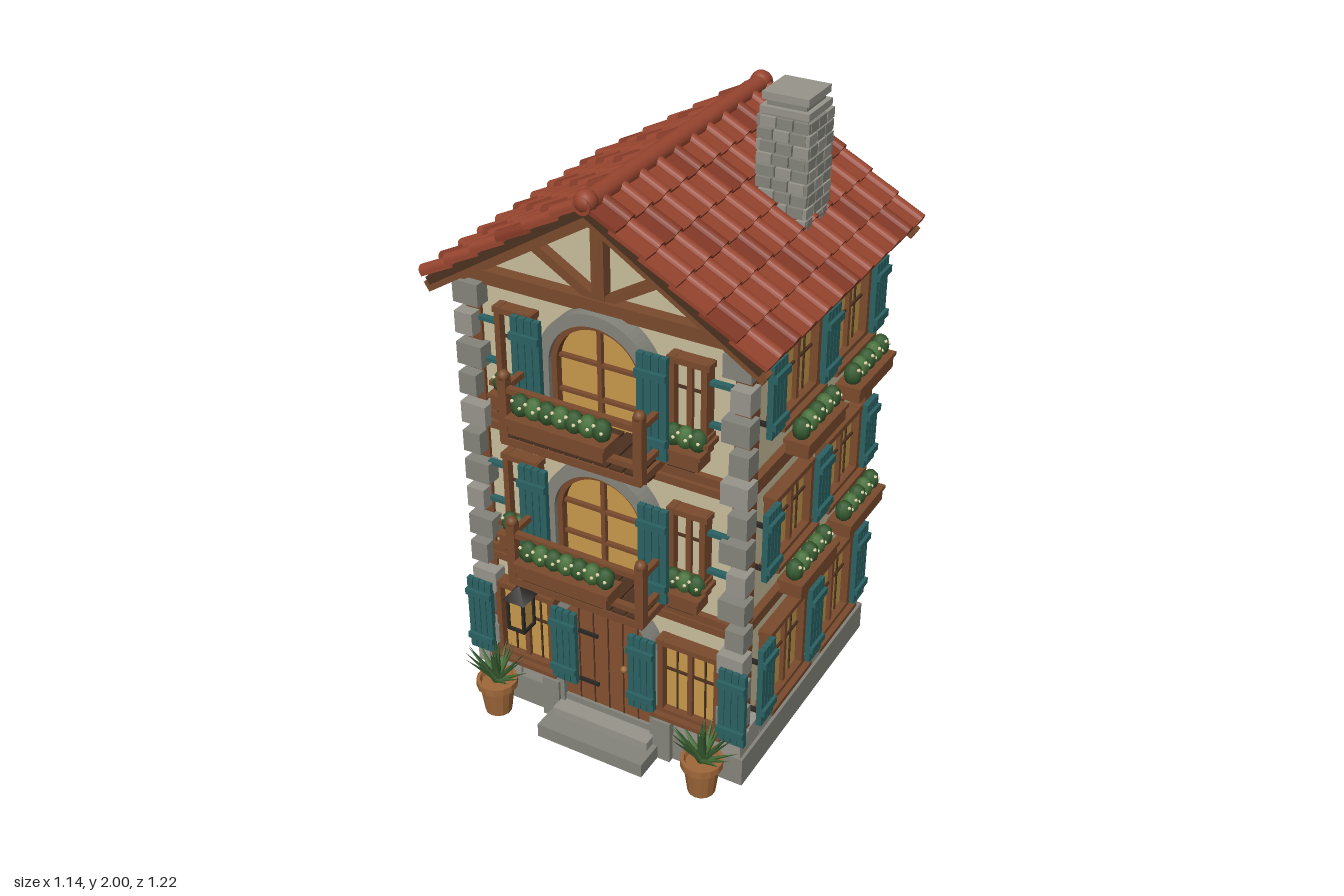
import * as THREE from 'three';

const mat = (color, extra = {}) => new THREE.MeshStandardMaterial({ color, ...extra });
const M = {
  plaster: mat(0xc9bd9c), wood: mat(0x7a4b2d), dark: mat(0x4c3120), teal: mat(0x2b6263), glass: mat(0xc89a4c),
  stone: mat(0x85847c), stoneLight: mat(0x97958b), tile: mat(0x97452f), tileDark: mat(0x853a27), door: mat(0x84512f),
  green: mat(0x47703a), greenDark: mat(0x34592f), flower: mat(0xd9cfa8), pot: mat(0xa0683a), iron: mat(0x2b2724),
};
const FRONT = 0.34, BACK = -0.475, SIDE = 0.435, ZC = -0.0675;

function add(parent, name, geo, material, x = 0, y = 0, z = 0) {
  const m = new THREE.Mesh(geo, material);
  m.name = name;
  m.position.set(x, y, z);
  parent.add(m);
  return m;
}
const box = (p, name, material, w, h, d, x, y, z) => add(p, name, new THREE.BoxGeometry(w, h, d), material, x, y, z);
function group(parent, name, x = 0, y = 0, z = 0, ry = 0) {
  const g = new THREE.Group();
  g.name = name;
  g.position.set(x, y, z);
  g.rotation.y = ry;
  parent.add(g);
  return g;
}
// Square timber between two points
function beam(p, name, material, a, b, t, d = t) {
  const A = new THREE.Vector3(...a), B = new THREE.Vector3(...b);
  const m = box(p, name, material, t, A.distanceTo(B), d, 0, 0, 0);
  m.position.copy(A).add(B).multiplyScalar(0.5);
  m.quaternion.setFromUnitVectors(new THREE.Vector3(0, 1, 0), B.sub(A).normalize());
  return m;
}
// Round-headed outline: straight sides from y0 up to yc, then a half circle
function archPath(r, y0, yc, P = THREE.Shape) {
  const s = new P();
  s.moveTo(-r, y0);
  s.lineTo(r, y0);
  s.lineTo(r, yc);
  s.absarc(0, yc, r, 0, Math.PI, false);
  s.lineTo(-r, y0);
  return s;
}
function arch(p, name, material, r, inner, y0, yc, z, depth) {
  const s = archPath(r, y0, yc);
  if (inner) s.holes.push(archPath(inner, y0 + 0.001, yc, THREE.Path));
  return add(p, name, new THREE.ExtrudeGeometry(s, { depth, bevelEnabled: false, curveSegments: 16 }), material, 0, 0, z);
}
// Casement window facing local +z
function casement(p, x, y, w, h, z = 0, pane = M.glass) {
  const g = group(p, 'window', x, y, z);
  box(g, 'pane', pane, w, h, 0.02, 0, 0, 0);
  for (const s of [-1, 1]) {
    box(g, 'frameSide', M.wood, 0.018, h + 0.02, 0.05, s * w / 2, 0, 0.01);
    box(g, 'frameRail', M.wood, w + 0.03, 0.018, 0.05, 0, s * h / 2, 0.01);
    if (w > 0.15) box(g, 'glazingBar', M.dark, 0.005, h, 0.024, s * w / 4, 0, 0.003);
  }
  box(g, 'centreBar', M.wood, 0.016, h, 0.036, 0, 0, 0.006);
  box(g, 'crossBar', M.dark, w, 0.007, 0.028, 0, h * 0.1, 0.003);
  box(g, 'sill', M.wood, w + 0.05, 0.015, 0.07, 0, -h / 2 - 0.012, 0.02);
}
function shutter(p, x, y, w, h, z) {
  const g = group(p, 'shutter', x, y, z);
  box(g, 'backing', M.teal, w - 0.008, h - 0.012, 0.01, 0, 0, 0);
  for (let i = 0; i < 4; i++) box(g, 'plank', M.teal, w / 4 - 0.003, h, 0.018, (i - 1.5) * w / 4, 0, 0);
  for (const s of [-1, 1]) {
    box(g, 'batten', M.teal, w, 0.022, 0.016, 0, s * h * 0.32, 0.012);
    box(g, 'hinge', M.iron, 0.012, 0.012, 0.045, -w * 0.4, s * h * 0.32, -0.022);
  }
}
function planter(p, x, y, w, z) {
  const g = group(p, 'planter', x, y, z);
  box(g, 'trough', M.wood, w, 0.045, 0.07, 0, 0, 0);
  box(g, 'troughRim', M.wood, w + 0.016, 0.012, 0.08, 0, 0.022, 0);
  box(g, 'troughFoot', M.dark, w - 0.03, 0.01, 0.055, 0, -0.027, 0);
  const n = Math.max(2, Math.round(w / 0.046));
  for (let i = 0; i < n; i++) {
    const px = (i - (n - 1) / 2) * w / n;
    const bush = add(g, 'bush', new THREE.SphereGeometry(0.028, 8, 6), i % 2 ? M.green : M.greenDark, px, 0.055, 0);
    bush.scale.y = 1.25;
    for (const [dx, dy] of [[-0.012, 0.078], [0.011, 0.06]])
      add(g, 'blossom', new THREE.IcosahedronGeometry(0.006), M.flower, px + dx, dy, 0.022);
  }
}
// Wall of two windows per floor, with shutters and planters
function windowWall(root, name, x, z, ry, offset, spacing, width) {
  const g = group(root, name, x, 0, z, ry);
  [[0.335, 0.27], [0.845, 0.215], [1.325, 0.215]].forEach(([y, h], floor) => {
    for (const s of [-1, 1]) {
      casement(g, offset + s * spacing / 2, y, width, h, 0.008);
      shutter(g, offset + s * (spacing / 2 + width / 2 + 0.055), y, 0.085, h + 0.015, 0.05);
      if (floor) planter(g, offset + s * spacing / 2, y - 0.18, 0.245, 0.095);
    }
    shutter(g, offset, y, 0.09, h + 0.015, 0.05);
  });
}
function buildShell(root) {
  const s = new THREE.Shape();
  [[-SIDE, 0.08], [SIDE, 0.08], [SIDE, 1.53], [0, 1.8], [-SIDE, 1.53]].forEach(([x, y], i) => i ? s.lineTo(x, y) : s.moveTo(x, y));
  add(root, 'walls', new THREE.ExtrudeGeometry(s, { depth: FRONT - BACK, bevelEnabled: false }), M.plaster, 0, 0, BACK);
  // Stone footing with a course of blocks on top
  box(root, 'footing', M.stone, 0.94, 0.1, 0.88, 0, 0.05, -0.07);
  for (let i = 0; i < 7; i++) {
    const t = (i - 3) * 0.13;
    for (const d of [-1, 1]) box(root, 'footingBlock', M.stoneLight, 0.03, 0.08, 0.118, d * 0.446, 0.142, ZC + t * 0.93);
    box(root, 'footingBlock', M.stoneLight, 0.122, 0.08, 0.03, t, 0.142, BACK - 0.011);
    if (Math.abs(i - 3) > 1) box(root, 'footingBlock', M.stoneLight, 0.122, 0.08, 0.03, t, 0.142, FRONT + 0.008);
  }
  // Timber floor bands and corner posts
  for (const y of [0.545, 0.575, 1.025, 1.06, 1.5])
    box(root, 'floorBand', M.wood, 0.9 + (y % 0.1 > 0.05 ? 0.02 : 0), 0.025, 0.855, 0, y, ZC);
  for (const d of [-1, 1]) {
    box(root, 'cornerPost', M.wood, 0.05, 1.33, 0.05, d * 0.432, 0.845, BACK + 0.005);
    box(root, 'cornerPost', M.wood, 0.05, 1.33, 0.05, d * 0.432, 0.845, FRONT - 0.015);
    for (let i = 0; i < 14; i++) {
      const w = i % 2 ? 0.085 : 0.06;
      box(root, 'quoin', i % 3 ? M.stone : M.stoneLight, w, 0.07, 0.06, d * (0.472 - w / 2), 0.16 + i * 0.1, 0.36);
    }
    // Eave brackets, plates and rafter tails
    for (const z of [0.3, -0.44]) {
      beam(root, 'eaveBracket', M.wood, [d * 0.43, 1.42, z], [d * 0.52, 1.505, z], 0.028);
      box(root, 'bracketPost', M.wood, 0.03, 0.12, 0.03, d * 0.45, 1.44, z);
    }
    box(root, 'eavePlate', M.wood, 0.022, 0.028, 1.0, d * 0.515, 1.505, -0.075);
    for (let i = 0; i < 11; i++) box(root, 'rafterTail', M.dark, 0.1, 0.025, 0.022, d * 0.465, 1.5, ZC + (i - 5) * 0.082);
  }
  // Gable trusses
  for (const [z, edge] of [[FRONT + 0.015, 0.415], [BACK - 0.015, -0.565]]) {
    const g = group(root, 'gableTruss', 0, 0, z);
    box(g, 'tieBeam', M.wood, 0.95, 0.035, 0.05, 0, 1.525, 0);
    box(g, 'kingPost', M.wood, 0.04, 0.27, 0.04, 0, 1.67, 0);
    for (const d of [-1, 1]) {
      beam(g, 'brace', M.wood, [d * 0.02, 1.54, 0], [d * 0.22, 1.66, 0], 0.028, 0.035);
      beam(g, 'rafter', M.wood, [0, 1.785, 0], [d * 0.46, 1.5, 0], 0.03, 0.04);
      beam(g, 'bargeBoard', M.wood, [0, 1.808, edge - z], [d * 0.53, 1.473, edge - z], 0.032, 0.03);
    }
  }
}
function buildRoof(root) {
  const angle = Math.atan2(0.335, 0.53), cols = 11, rows = 6, pitch = 1.03 / cols, step = 0.627 / rows;
  // Pan-and-roll tile section, run down the slope
  const s = new THREE.Shape();
  s.moveTo(0, 0);
  s.lineTo(0.055, 0);
  s.lineTo(pitch, 0);
  s.lineTo(pitch, 0.012);
  s.absellipse(pitch - 0.02, 0.012, 0.02, 0.018, 0, Math.PI, false);
  s.lineTo(0, 0.012);
  const tileGeo = new THREE.ExtrudeGeometry(s, { depth: step + 0.018, bevelEnabled: false, curveSegments: 5 }).rotateY(Math.PI / 2);
  for (const ry of [0, Math.PI]) {
    const side = group(root, 'roofSlope', 0, 1.84, -0.075, ry);
    const slope = group(side, 'slope');
    slope.rotation.z = -angle;
    box(slope, 'deck', M.dark, 0.625, 0.025, 1.02, 0.312, -0.0125, 0);
    for (let c = 0; c < cols; c++) for (let r = 0; r < rows; r++) {
      const t = add(slope, 'tile', tileGeo, (c * 3 + r * 5) % 4 ? M.tile : M.tileDark, r * step - 0.012, -0.006, 0.515 - c * pitch);
      t.rotation.z = 0.1;
    }
  }
  for (let i = 0; i < cols; i++) {
    const cap = add(root, 'ridgeTile', new THREE.CylinderGeometry(0.027, 0.03, pitch + 0.008, 12), M.tile, 0, 1.845, -0.075 + (i - 5) * pitch);
    cap.rotation.x = Math.PI / 2;
  }
  for (const z of [0.42, -0.57]) add(root, 'ridgeEnd', new THREE.SphereGeometry(0.033, 12, 8), M.tile, 0, 1.85, z);
  // Brick chimney
  const g = group(root, 'chimney', 0.285, 0, -0.215);
  box(g, 'core', M.stone, 0.14, 0.4, 0.14, 0, 1.74, 0);
  for (let r = 0; r < 10; r++) for (let k = 0; k < 4; k++) {
    const face = group(g, 'brickCourse', 0, 1.595 + r * 0.036, 0, k * Math.PI / 2);
    for (let i = 0; i < 3; i++) box(face, 'brick', (r + i + k) % 3 ? M.stone : M.stoneLight, 0.046, 0.03, 0.016, (i - 1) * 0.051 + (r % 2 ? 0.005 : -0.005), 0, 0.073);
  }
  box(g, 'collar', M.stoneLight, 0.15, 0.02, 0.15, 0, 1.95, 0);
  box(g, 'neck', M.stone, 0.12, 0.03, 0.12, 0, 1.97, 0);
  box(g, 'cap', M.stoneLight, 0.142, 0.022, 0.142, 0, 1.989, 0);
}
// Arched opening with balcony for an upper floor
function buildBalcony(root, dy) {
  const g = group(root, 'balconyFloor', 0, dy, 0);
  arch(g, 'stoneArch', M.stone, 0.187, 0.15, 1.13, 1.32, FRONT, 0.06);
  arch(g, 'archFrame', M.wood, 0.15, 0.133, 1.13, 1.32, FRONT, 0.045);
  arch(g, 'archGlass', M.glass, 0.14, 0, 1.13, 1.32, FRONT, 0.02);
  box(g, 'glazingBar', M.wood, 0.014, 0.32, 0.03, 0, 1.29, FRONT + 0.02);
  for (const y of [1.23, 1.34]) box(g, 'glazingBar', M.wood, 0.27, 0.01, 0.03, 0, y, FRONT + 0.02);
  box(g, 'deck', M.wood, 0.45, 0.025, 0.2, 0, 1.122, 0.44);
  for (let i = 0; i < 9; i++) box(g, 'deckBoard', M.dark, 0.042, 0.008, 0.19, (i - 4) * 0.048, 1.138, 0.44);
  for (const y of [1.165, 1.285]) box(g, 'frontRail', M.wood, 0.44, 0.018, 0.02, 0, y, 0.525);
  planter(g, 0, 1.225, 0.3, 0.573);
  for (const d of [-1, 1]) {
    box(g, 'railPost', M.wood, 0.028, 0.21, 0.028, d * 0.215, 1.22, 0.525);
    add(g, 'postKnob', new THREE.SphereGeometry(0.018, 10, 8), M.wood, d * 0.215, 1.325, 0.525);
    for (const y of [1.165, 1.285]) box(g, 'sideRail', M.wood, 0.018, 0.018, 0.19, d * 0.215, y, 0.435);
    beam(g, 'deckBrace', M.wood, [d * 0.155, 1.11, 0.52], [d * 0.155, 1.03, 0.4], 0.022);
    box(g, 'braceFoot', M.dark, 0.026, 0.09, 0.06, d * 0.155, 1.07, 0.37);
    shutter(g, d * 0.2, 1.3, 0.095, 0.32, 0.43);
    // Narrow flanking window
    casement(g, d * 0.28, 1.32, 0.1, 0.22, FRONT + 0.008, M.plaster);
    for (const y of [1.25, 1.38]) box(g, 'shutterStay', M.teal, 0.075, 0.012, 0.02, d * 0.365, y, FRONT + 0.02);
    planter(g, d * 0.28, 1.15, 0.115, 0.39);
  }
}
function buildEntrance(root) {
  arch(root, 'doorSurround', M.stone, 0.187, 0.155, 0.06, 0.37, FRONT, 0.04);
  arch(root, 'door', M.door, 0.156, 0, 0.06, 0.37, FRONT, 0.02);
  for (let i = -2; i <= 2; i++) box(root, 'doorSeam', M.dark, 0.004, 0.42, 0.004, i * 0.052, 0.28, FRONT + 0.02);
  for (const y of [0.18, 0.37]) box(root, 'strapHinge', M.iron, 0.07, 0.012, 0.008, -0.07, y, FRONT + 0.024);
  add(root, 'doorKnob', new THREE.SphereGeometry(0.012, 10, 8), M.pot, 0.06, 0.285, FRONT + 0.03);
  box(root, 'lowerStep', M.stone, 0.375, 0.048, 0.14, 0, 0.024, 0.42);
  box(root, 'upperStep', M.stoneLight, 0.34, 0.03, 0.08, 0, 0.062, 0.385);
  for (const d of [-1, 1]) {
    box(root, 'doorPlinth', M.stone, 0.06, 0.15, 0.06, d * 0.2, 0.075, 0.36);
    casement(root, d * 0.29, 0.325, 0.19, 0.26, FRONT + 0.01);
    for (const x of [0.137, 0.445]) shutter(root, d * x, 0.32, 0.09, 0.27, 0.395);
    // Potted plant
    const g = group(root, 'pottedPlant', d * 0.37, 0, 0.44);
    const prof = [[0, 0], [0.043, 0], [0.056, 0.1], [0.066, 0.1], [0.066, 0.125], [0.055, 0.125], [0.05, 0.11], [0, 0.11]];
    add(g, 'pot', new THREE.LatheGeometry(prof.map(([x, y]) => new THREE.Vector2(x, y)), 14), mat(0xa0683a, { flatShading: true }));
    for (let i = 0; i < 20; i++) {
      const tilt = 0.2 + (i % 4) * 0.27;
      const holder = group(g, 'leafHolder', 0, 0.115, 0, i * 2.4);
      holder.rotation.order = 'YXZ';
      holder.rotation.x = tilt;
      const leaf = add(holder, 'leaf', new THREE.ConeGeometry(0.016, 0.14, 5), i % 2 ? M.green : M.greenDark, 0, 0.07, 0);
      leaf.scale.z = 0.4;
    }
  }
  // Hanging lantern
  const l = group(root, 'lantern', -0.255, 0, 0.45);
  beam(l, 'lanternArm', M.iron, [0, 0.55, -0.11], [0, 0.55, 0.01], 0.012);
  add(l, 'lanternRoof', new THREE.ConeGeometry(0.055, 0.045, 4).rotateY(Math.PI / 4), M.iron, 0, 0.52, 0);
  box(l, 'lanternGlass', M.glass, 0.05, 0.1, 0.05, 0, 0.445, 0);
  box(l, 'lanternBase', M.iron, 0.062, 0.012, 0.062, 0, 0.39, 0);
  for (const x of [-1, 1]) for (const z of [-1, 1]) box(l, 'lanternBar', M.iron, 0.009, 0.11, 0.009, x * 0.027, 0.445, z * 0.027);
}
export function createModel() {
  const root = new THREE.Group();
  root.name = 'townhouse';
  buildShell(root);
  buildRoof(root);
  windowWall(root, 'leftWall', SIDE, 0, Math.PI / 2, 0.08, 0.34, 0.225);
  windowWall(root, 'rightWall', -SIDE, 0, -Math.PI / 2, -0.08, 0.34, 0.225);
  windowWall(root, 'backWall', 0, BACK, Math.PI, 0, 0.37, 0.225);
  for (const dy of [0, -0.488]) buildBalcony(root, dy);
  buildEntrance(root);
  return root;
}
